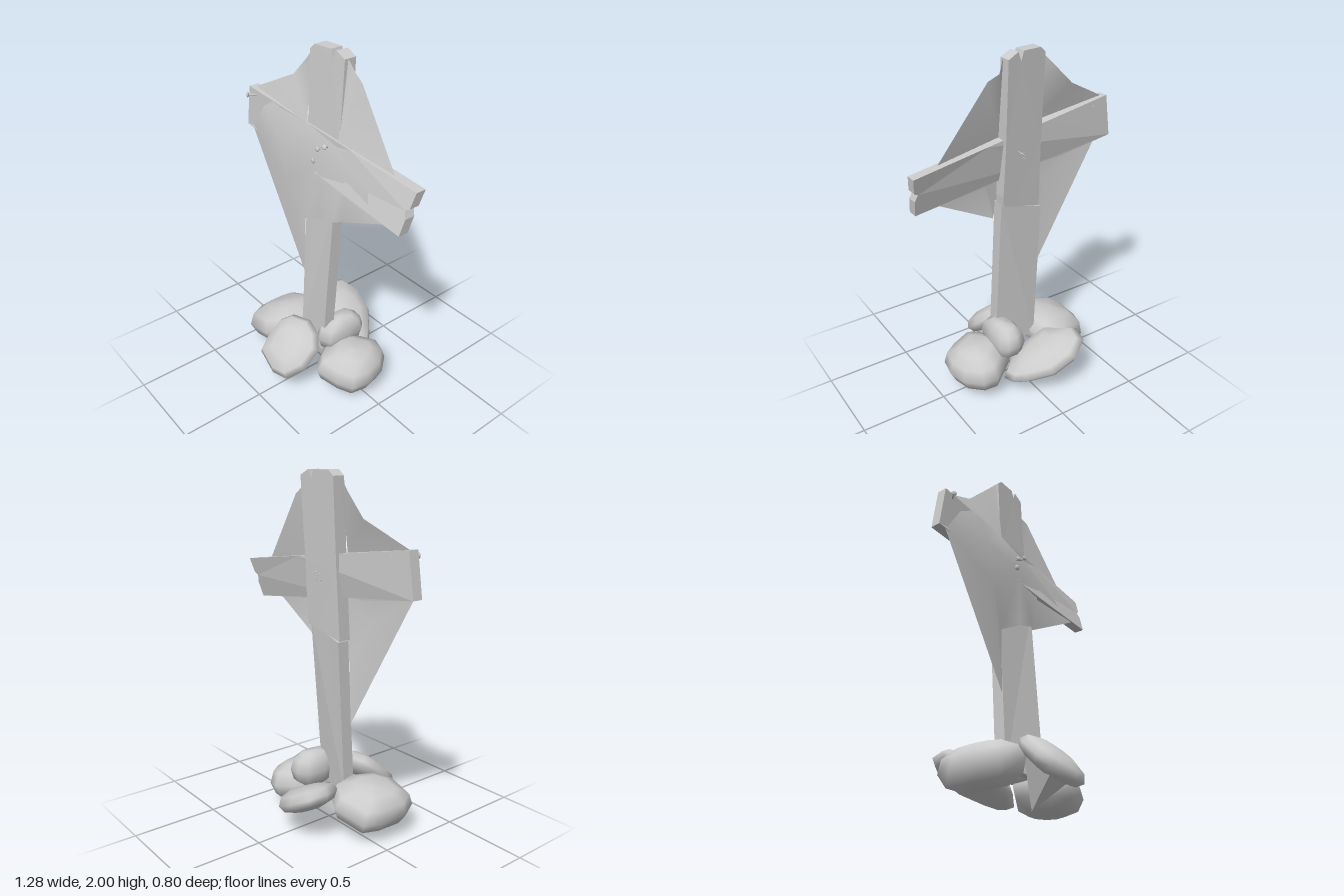
import * as THREE from 'three';
import { ConvexGeometry } from 'three/addons/geometries/ConvexGeometry.js';

const grey = new THREE.MeshStandardMaterial({ color: 0xcccccc });
const flat = new THREE.MeshStandardMaterial({ color: 0xcccccc, flatShading: true });
const thin = new THREE.MeshStandardMaterial({ color: 0xcccccc, side: THREE.DoubleSide });
const lerp = THREE.MathUtils.lerp;

function add(parent, name, geometry, material = grey) {
  const mesh = new THREE.Mesh(geometry, material);
  mesh.name = name;
  parent.add(mesh);
  return mesh;
}

function indexed(points, index) {
  const geometry = new THREE.BufferGeometry();
  geometry.setAttribute('position', new THREE.Float32BufferAttribute(points.flat(), 3));
  geometry.setIndex(index);
  geometry.computeVertexNormals();
  return geometry;
}

// Board from a front outline, bent so its front face follows frontZ(x, y)
function plank(outline, frontZ, thickness) {
  const shape = new THREE.Shape(outline.map(([x, y]) => new THREE.Vector2(x, y)));
  const geometry = new THREE.ExtrudeGeometry(shape, { depth: 1, bevelEnabled: false });
  const p = geometry.attributes.position;
  for (let i = 0; i < p.count; i++) {
    p.setZ(i, frontZ(p.getX(i), p.getY(i)) + (p.getZ(i) - 1) * thickness);
  }
  geometry.computeVertexNormals();
  return geometry;
}

// Boulder from its outline seen from above: rings swell and close along a tilted plane
function stone(outline, y, [slopeX, slopeZ], half) {
  const n = outline.length;
  const cx = outline.reduce((sum, p) => sum + p[0], 0) / n;
  const cz = outline.reduce((sum, p) => sum + p[1], 0) / n;
  const normal = new THREE.Vector3(-slopeX, 1, -slopeZ).normalize().multiplyScalar(half);
  const rings = [[-1, 0], [-0.95, 0.5], [-0.6, 0.87], [0, 1], [0.6, 0.87], [0.95, 0.5], [1, 0]];
  const points = [], index = [];
  rings.forEach(([offset, scale], r) => {
    outline.forEach(([x, z], i) => {
      const dx = (x - cx) * scale, dz = (z - cz) * scale;
      points.push([
        cx + dx + normal.x * offset,
        y + slopeX * dx + slopeZ * dz + normal.y * offset,
        cz + dz + normal.z * offset,
      ]);
      if (r === 0) return;
      const a = (r - 1) * n + i, b = (r - 1) * n + (i + 1) % n;
      index.push(a, b, b + n, a, b + n, a + n);
    });
  });
  return indexed(points, index);
}

// Nail with a domed head at one end
function nail(parent, head, tip) {
  const group = new THREE.Group();
  group.name = 'nail';
  const a = new THREE.Vector3(...head), b = new THREE.Vector3(...tip);
  const length = a.distanceTo(b);
  const shaft = add(group, 'nailShaft', new THREE.CylinderGeometry(0.006, 0.002, length, 8));
  shaft.position.y = -length / 2;
  const cap = add(group, 'nailHead', new THREE.SphereGeometry(0.016, 10, 6));
  cap.scale.y = 0.5;
  group.position.copy(a);
  group.quaternion.setFromUnitVectors(new THREE.Vector3(0, 1, 0), a.clone().sub(b).normalize());
  parent.add(group);
}

export function createModel() {
  const model = new THREE.Group();
  model.name = 'woodenGraveMarker';

  // Leaning post in two pieces, each twisted its own way, with a slanted crack between
  const across = (x) => (x + 0.14) / 0.25;
  const lowerZ = (x, y) => {
    const t = (y - 0.35) / 0.75;
    return lerp(lerp(0.06, 0.018, t), lerp(0.095, 0.035, t), across(x));
  };
  const upperZ = (x, y) => {
    const t = (y - 1.1) / 0.9;
    return lerp(lerp(0.035, -0.01, t), lerp(0.015, -0.04, t), across(x));
  };
  add(model, 'lowerPost', plank([
    [-0.138, 0.2], [0.11, 0.2], [0.11, 1.17], [0.03, 1.15], [-0.06, 1.12], [-0.14, 1.1],
  ], lowerZ, 0.07), flat);
  add(model, 'upperPost', plank([
    [-0.135, 1.1], [-0.06, 1.12], [0.03, 1.145], [0.108, 1.165], [0.112, 1.22], [0.105, 1.5],
    [0.105, 1.97], [0.045, 2], [0.025, 1.95], [0.01, 2], [-0.1, 2], [-0.132, 1.97], [-0.13, 1.5],
  ], upperZ, 0.072), flat);

  // Crooked crossbeam, twisting toward its notched end
  const beamZ = (x, y) => {
    const drop = (1.64 - 0.136 * (x + 0.61) - y) / 0.235;
    return lerp(0.055, lerp(-0.035, 0.035, drop), (x + 0.62) / 1.25);
  };
  add(model, 'crossbeam', plank([
    [-0.645, 1.4], [-0.3, 1.35], [-0.15, 1.345], [0.2, 1.29], [0.61, 1.24], [0.62, 1.33],
    [0.605, 1.37], [0.628, 1.385], [0.64, 1.47], [0.2, 1.53], [-0.2, 1.585], [-0.61, 1.64],
  ], beamZ, 0.06), flat);

  // Ragged cloth stretched between post and beam
  const cloth = {
    A: [-0.13, 1.97, -0.03], B: [-0.2, 1.9, -0.045], C: [-0.33, 1.77, -0.05],
    D: [-0.6, 1.63, 0.025], E: [-0.6, 1.4, 0.05], F: [-0.138, 0.61, 0.04],
    G: [-0.138, 0.98, 0.03], H: [0, 1.05, 0.045], I: [0.11, 1.08, 0.04],
    J: [0.14, 1.08, 0], K: [0.49, 1.25, 0.03], L: [0.49, 1.48, -0.045],
    M: [0.2, 1.87, -0.07], N: [0.14, 1.9, -0.08], O: [0.105, 1.97, -0.06],
    P: [-0.13, 1.575, 0.02], Q: [0.1, 1.545, -0.005], R: [-0.33, 1.6, 0.045],
    S: [0, 1.4, 0.045], T: [0.2, 1.4, 0.025], U: [-0.25, 1.2, 0.075], V: [-0.31, 1.44, 0.078],
  };
  const faces = 'APB BPC CPD OQN NQM MQL DEV DVR RVP VSP EUV VUS EFU FGU UGS SPQ GHS HIS SIT IJT JKT KLT LQT QST';
  const letters = Object.keys(cloth);
  const clothIndex = [];
  for (const face of faces.split(' ')) {
    // Turn every triangle toward the front
    const [a, b, c] = [...face].map((k) => cloth[k]);
    const turn = (b[0] - a[0]) * (c[1] - a[1]) - (b[1] - a[1]) * (c[0] - a[0]);
    const order = turn > 0 ? [0, 1, 2] : [0, 2, 1];
    clothIndex.push(...order.map((i) => letters.indexOf(face[i])));
  }
  add(model, 'cloth', indexed(Object.values(cloth), clothIndex), thin);

  // Nails through the joint, and one driven aslant at the beam's end
  nail(model, [-0.01, 1.475, 0.045], [0.0, 1.45, -0.095]);
  nail(model, [0.045, 1.505, 0.042], [0.015, 1.46, -0.095]);
  nail(model, [-0.035, 1.4, 0.055], [-0.005, 1.43, -0.095]);
  nail(model, [-0.582, 1.605, 0.088], [-0.5, 1.6, -0.03]);

  // Stones heaped around the foot: outline from above, height, slopes, half thickness
  add(model, 'frontStone', stone([
    [-0.17, 0.2], [-0.175, 0.3], [-0.155, 0.37], [0, 0.395], [0.1, 0.37],
    [0.165, 0.28], [0.165, 0.18], [0.1, 0.13], [0, 0.11], [-0.12, 0.145],
  ], 0.245, [-0.15, -0.87], 0.065));
  add(model, 'backStone', stone([
    [-0.285, -0.24], [-0.23, -0.16], [-0.18, -0.08], [-0.05, -0.06], [0.08, -0.08], [0.17, -0.15],
    [0.155, -0.22], [0.1, -0.28], [-0.02, -0.375], [-0.16, -0.395], [-0.26, -0.34],
  ], 0.21, [-0.5, 0], 0.065));
  add(model, 'rightSideStone', stone([
    [-0.43, -0.11], [-0.46, 0], [-0.465, 0.17], [-0.41, 0.275], [-0.23, 0.28],
    [-0.14, 0.2], [-0.1, 0.05], [-0.13, -0.1], [-0.25, -0.165],
  ], 0.187, [0.28, 0], 0.115));
  add(model, 'leftSideStone', stone([
    [0.08, -0.08], [0.07, 0.05], [0.14, 0.17], [0.2, 0.22], [0.33, 0.18],
    [0.415, 0.13], [0.435, 0.02], [0.41, -0.1], [0.335, -0.19], [0.25, -0.21], [0.17, -0.15],
  ], 0.157, [-0.15, 0], 0.118));
  add(model, 'smallStone', stone([
    [0.02, -0.14], [0.01, -0.02], [0.03, 0.08], [0.1, 0.13], [0.17, 0.1],
    [0.185, -0.02], [0.185, -0.13], [0.15, -0.17], [0.08, -0.175],
  ], 0.295, [0, 0], 0.105));

  // Pointed underside of the front stone
  add(model, 'stonePoint', new ConvexGeometry([
    [-0.11, 0.16, 0.34], [0.04, 0.14, 0.34], [-0.04, 0, 0.15], [-0.13, 0.25, 0.18], [0.11, 0.21, 0.18],
  ].map((p) => new THREE.Vector3(...p))), flat);

  return model;
}
